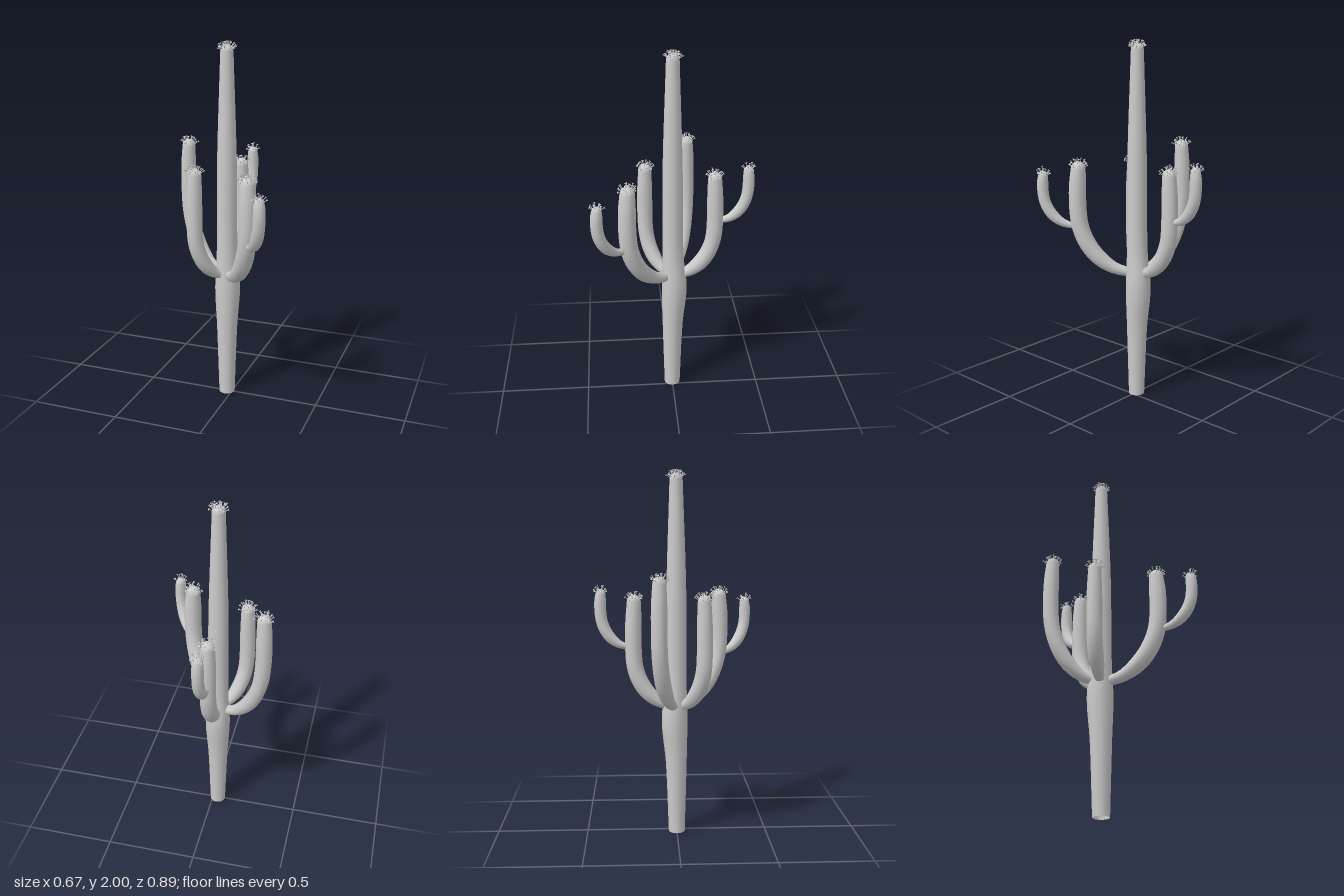
import * as THREE from 'three';
import { mergeGeometries } from 'three/addons/utils/BufferGeometryUtils.js';

const SIDES = 12;
const material = new THREE.MeshStandardMaterial({ color: 0xcccccc, side: THREE.DoubleSide });

function seeded(seed) {
  return () => (seed = (seed * 16807) % 2147483647) / 2147483647;
}

// Sweeps a round stem within the vertical plane of dir and closes it with a dome.
// Each profile point holds distance outward, height and radius as x, y, z.
function stem(origin, dir, profile, segments) {
  const side = new THREE.Vector3(-dir.z, 0, dir.x);
  const curve = new THREE.CatmullRomCurve3(profile);
  const rings = [];
  for (let i = 0; i <= segments; i++) {
    const p = curve.getPoint(i / segments);
    const t = curve.getTangent(i / segments);
    rings.push({
      centre: origin.clone().addScaledVector(dir, p.x).setY(p.y),
      axis: dir.clone().multiplyScalar(t.x).setY(t.y).normalize(),
      radius: p.z,
    });
  }
  // Rounded end
  const tip = rings[segments];
  for (let k = 1; k <= 4; k++) {
    const a = k * Math.PI / 8;
    rings.push({
      centre: tip.centre.clone().addScaledVector(tip.axis, tip.radius * Math.sin(a)),
      axis: tip.axis,
      radius: Math.max(tip.radius * Math.cos(a), 0.0003),
    });
  }
  const positions = [], index = [];
  rings.forEach(({ centre, axis, radius }, i) => {
    const normal = side.clone().cross(axis);
    for (let j = 0; j < SIDES; j++) {
      const a = j / SIDES * Math.PI * 2;
      const v = centre.clone()
        .addScaledVector(normal, radius * Math.cos(a))
        .addScaledVector(side, radius * Math.sin(a));
      positions.push(v.x, v.y, v.z);
      if (i === rings.length - 1) continue;
      const p = i * SIDES + j, q = i * SIDES + (j + 1) % SIDES;
      index.push(p, q, p + SIDES, q, q + SIDES, p + SIDES);
    }
  });
  const geometry = new THREE.BufferGeometry();
  geometry.setAttribute('position', new THREE.Float32BufferAttribute(positions, 3));
  geometry.setIndex(index);
  geometry.computeVertexNormals();
  return { geometry, tip };
}

// Arm outline: a quarter-ellipse elbow that swells from a narrow joint, then a straight rise
function armProfile({ reach, base, elbow, top, radius }) {
  const points = [];
  for (let k = 0; k <= 5; k++) {
    const a = THREE.MathUtils.lerp(0.1, Math.PI / 2, k / 5);
    const swell = 0.5 + 0.5 * THREE.MathUtils.smoothstep(a, 0, 0.9);
    points.push(new THREE.Vector3(
      reach * Math.sin(a), base + elbow * (1 - Math.cos(a)), radius * swell));
  }
  const straight = top - base - elbow;
  points.push(new THREE.Vector3(reach, top - straight * 0.4, radius * 0.98));
  points.push(new THREE.Vector3(reach * 0.985, top, radius * 0.85));
  return points;
}

// Small stalked blossoms scattered over a domed tip
function flowers({ centre, axis, radius }, count, seed) {
  const random = seeded(seed);
  const up = new THREE.Vector3(0, 1, 0);
  const lean = new THREE.Quaternion().setFromUnitVectors(up, axis);
  const parts = [];
  for (let i = 0; i < count; i++) {
    const polar = 1.35 * Math.sqrt((i + 0.5) / count);
    const around = i * 2.4 + random() * 0.8;
    const out = new THREE.Vector3().setFromSphericalCoords(1, polar, around).applyQuaternion(lean);
    const length = 0.013 + random() * 0.009;
    const stalk = new THREE.CylinderGeometry(0.0018, 0.0022, length, 5, 1, true);
    stalk.translate(0, length / 2 - 0.001, 0);
    const bloom = new THREE.CylinderGeometry(0.006, 0.002, 0.006, 7);
    bloom.translate(0, length + 0.001, 0);
    // Blossoms grow partly upward rather than straight out
    const growth = out.clone().addScaledVector(axis, 0.35).normalize();
    const turn = new THREE.Quaternion().setFromUnitVectors(up, growth);
    const foot = centre.clone().addScaledVector(out, radius * 0.97);
    const matrix = new THREE.Matrix4().compose(foot, turn, new THREE.Vector3(1, 1, 1));
    parts.push(stalk.applyMatrix4(matrix), bloom.applyMatrix4(matrix));
  }
  return mergeGeometries(parts);
}

const TRUNK_X = -0.03;

// Slightly bulging trunk: backward drift, height, radius
const trunkProfile = [
  [0, 0, 0.045], [0.003, 0.4, 0.058], [0.012, 0.64, 0.071], [0.005, 0.84, 0.059],
  [0.003, 1.35, 0.054], [0.004, 1.942, 0.035],
].map(p => new THREE.Vector3(...p));

// Main arms leave the trunk axis in direction (dx, dz)
const mainArms = [
  { name: 'rightRearArm', dx: -0.26, dz: -0.1, reach: 0.283, base: 0.72, elbow: 0.42, top: 1.412, radius: 0.043 },
  { name: 'rightFrontArm', dx: -0.13, dz: 0.14, reach: 0.194, base: 0.72, elbow: 0.28, top: 1.305, radius: 0.043 },
  { name: 'leftFrontArm', dx: 0.205, dz: 0.25, reach: 0.323, base: 0.72, elbow: 0.36, top: 1.305, radius: 0.048 },
  { name: 'rearArm', dx: 0.002, dz: -0.23, reach: 0.235, base: 0.72, elbow: 0.29, top: 1.295, radius: 0.045 },
];

// Thin branches leave the arms at (x, z)
const branches = [
  { name: 'leftFrontBranch', x: 0.18, z: 0.26, dx: 0.11, dz: 0.15, reach: 0.182, base: 0.985, elbow: 0.2, top: 1.263, radius: 0.032 },
  { name: 'rearBranch', x: -0.028, z: -0.255, dx: 0.008, dz: -0.165, reach: 0.158, base: 1.05, elbow: 0.2, top: 1.337, radius: 0.032 },
];

export function createModel() {
  const cactus = new THREE.Group();
  cactus.name = 'cactus';

  const addStem = (name, x, z, dx, dz, profile, segments, blooms) => {
    const origin = new THREE.Vector3(x, 0, z);
    const dir = new THREE.Vector3(dx, 0, dz).normalize();
    const { geometry, tip } = stem(origin, dir, profile, segments);
    const body = new THREE.Mesh(geometry, material);
    body.name = name;
    const crown = new THREE.Mesh(flowers(tip, blooms, 101 + cactus.children.length * 37), material);
    crown.name = name + 'Flowers';
    cactus.add(body, crown);
  };

  addStem('trunk', TRUNK_X, 0, 0, -1, trunkProfile, 30, 32);
  for (const arm of mainArms) {
    addStem(arm.name, TRUNK_X, 0, arm.dx, arm.dz, armProfile(arm), 21, 22);
  }
  for (const branch of branches) {
    addStem(branch.name, branch.x, branch.z, branch.dx, branch.dz, armProfile(branch), 14, 13);
  }
  return cactus;
}
